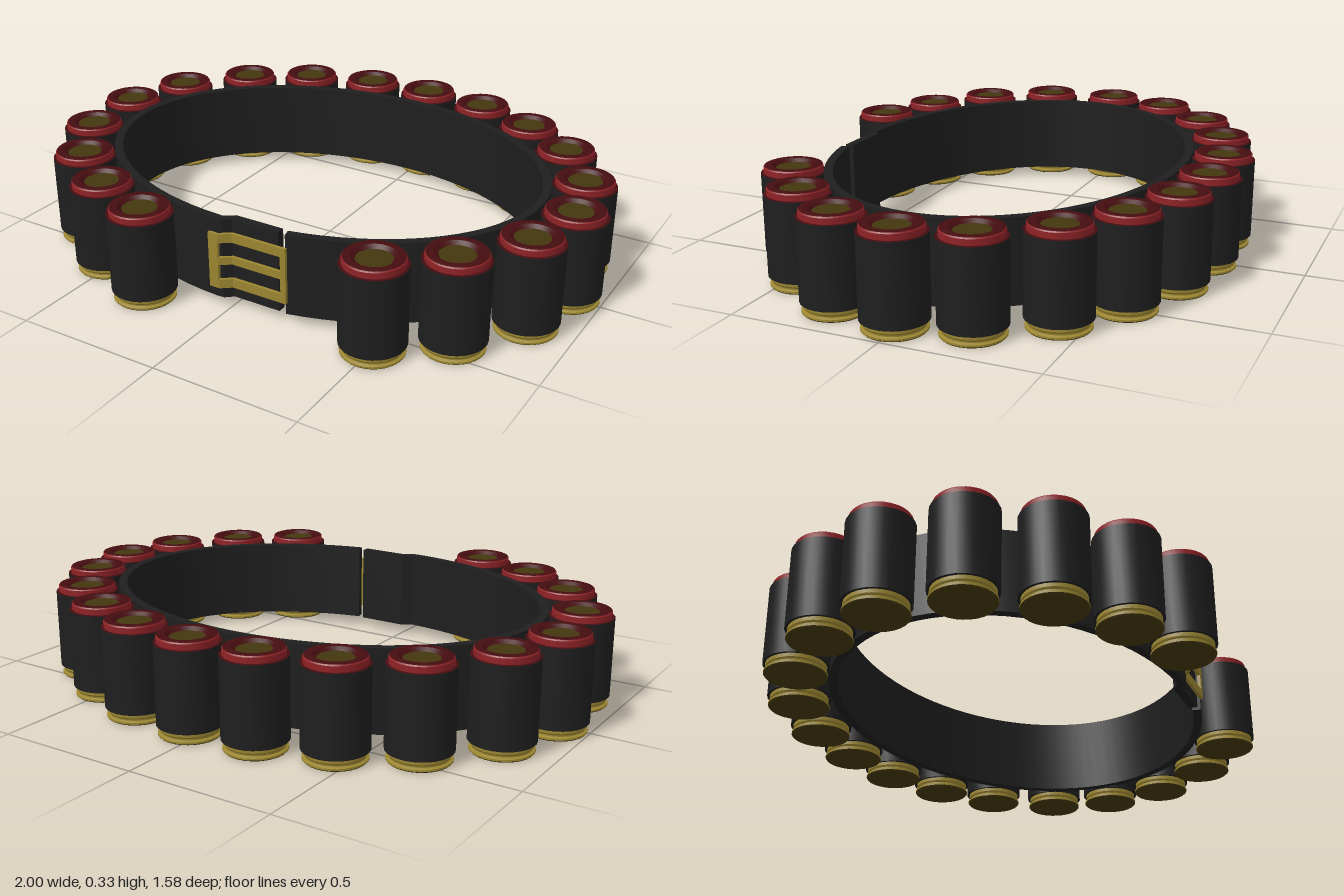
import * as THREE from 'three';
import { toCreasedNormals } from 'three/addons/utils/BufferGeometryUtils.js';

const material = (name, color) => {
  const m = new THREE.MeshStandardMaterial({ color });
  m.name = name;
  return m;
};

// Upright ribbon that follows a path of [x, z] points
function ribbon(points, thickness, y0, y1) {
  const sides = [[], []];
  points.forEach((p, i) => {
    const a = points[Math.max(i - 1, 0)], b = points[Math.min(i + 1, points.length - 1)];
    const dx = b[0] - a[0], dz = b[1] - a[1];
    const k = thickness / 2 / Math.hypot(dx, dz);
    sides[0].push(new THREE.Vector2(p[0] + dz * k, -(p[1] - dx * k)));
    sides[1].push(new THREE.Vector2(p[0] - dz * k, -(p[1] + dx * k)));
  });
  const shape = new THREE.Shape([...sides[0], ...sides[1].reverse()]);
  const g = new THREE.ExtrudeGeometry(shape, { depth: y1 - y0, bevelEnabled: false });
  g.rotateX(-Math.PI / 2).translate(0, y0, 0);
  return toCreasedNormals(g, 0.4);
}

// Turned part from [radius, y] points, listed so that the outside is on the right
function turned(profile, segments = 28) {
  const g = new THREE.LatheGeometry(profile.map(([r, y]) => new THREE.Vector2(r, y)), segments);
  return toCreasedNormals(g, 0.5);
}

export function createModel() {
  const model = new THREE.Group();
  model.name = 'cartridgeBelt';
  const black = material('black leather', 0x1e1e1e);
  const red = material('red plastic', 0x8e2226);
  const darkRed = material('dark red plastic', 0x450d10);
  const brass = material('brass', 0x9a8530);
  const darkBrass = material('dark brass', 0x43370f);

  const add = (parent, name, geometry, mat) => {
    const mesh = new THREE.Mesh(geometry, mat);
    mesh.name = name;
    parent.add(mesh);
  };

  // Strap: an open ellipse whose end steps inward behind the buckle
  const path = [];
  const start = 0.265, end = Math.PI * 2 - 0.05, steps = 80;
  for (let i = 0; i <= steps; i++) {
    const t = start + (end - start) * i / steps;
    path.push([-0.005 + 0.776 * Math.sin(t), 0.02 + 0.581 * Math.cos(t)]);
  }
  path.push([-0.025, 0.6], [0.005, 0.577], [0.175, 0.577]);
  add(model, 'strap', ribbon(path, 0.029, 0.035, 0.31), black);

  // Buckle: bent rails, end bars and a central prong
  const buckle = new THREE.Group();
  buckle.name = 'buckle';
  model.add(buckle);
  const bend = [[-0.06, 0.625], [-0.025, 0.625], [0.01, 0.599], [0.207, 0.599]];
  add(buckle, 'lowerRail', ribbon(bend, 0.011, 0.075, 0.106), brass);
  add(buckle, 'upperRail', ribbon(bend, 0.011, 0.235, 0.266), brass);
  add(buckle, 'prong', ribbon(bend, 0.011, 0.158, 0.184), brass);
  add(buckle, 'hingeBar', ribbon(bend.slice(0, 2), 0.011, 0.1, 0.24), brass);
  add(buckle, 'endBar', ribbon([[0.188, 0.599], [0.207, 0.599]], 0.011, 0.1, 0.24), brass);

  // Shell parts, shared by all cartridges
  const foot = turned([[0, 0], [0.097, 0], [0.101, 0.004]]);
  const base = turned([[0.101, 0.004], [0.101, 0.01], [0.093, 0.014],
    [0.093, 0.018], [0.097, 0.024], [0.097, 0.04]]);
  const sleeve = turned([[0.09, 0.036], [0.106, 0.036], [0.106, 0.301]]);
  const shoulder = turned([[0.106, 0.301], [0.096, 0.302]]);
  const crimpWall = turned([[0.097, 0.295], [0.097, 0.321], [0.094, 0.325]]);
  const crimpTop = turned([[0.094, 0.325], [0.088, 0.327], [0.07, 0.326], [0.054, 0.314]]);
  const plug = new THREE.CircleGeometry(0.06, 8).rotateX(-Math.PI / 2).translate(0, 0.316, 0);

  // Cartridges around the outside of the strap, by [x, z]
  const places = [
    [-0.28, 0.685], [-0.51, 0.595], [-0.715, 0.445], [-0.86, 0.23], [-0.895, -0.03], [-0.825, -0.265],
    [-0.655, -0.465], [-0.445, -0.595], [-0.205, -0.665], [0.035, -0.68], [0.275, -0.65], [0.5, -0.56],
    [0.695, -0.425], [0.84, -0.22], [0.893, 0.005], [0.845, 0.235], [0.7, 0.445], [0.505, 0.59],
  ];
  places.forEach(([x, z], i) => {
    const shell = new THREE.Group();
    shell.name = `cartridge${i + 1}`;
    shell.position.set(x, 0, z);
    shell.rotation.y = Math.atan2(x, z);
    add(shell, 'foot', foot, darkBrass);
    add(shell, 'brassBase', base, brass);
    add(shell, 'sleeve', sleeve, black);
    add(shell, 'shoulder', shoulder, darkRed);
    add(shell, 'crimpWall', crimpWall, red);
    add(shell, 'crimpTop', crimpTop, darkRed);
    add(shell, 'plug', plug, darkBrass);
    model.add(shell);
  });
  return model;
}
